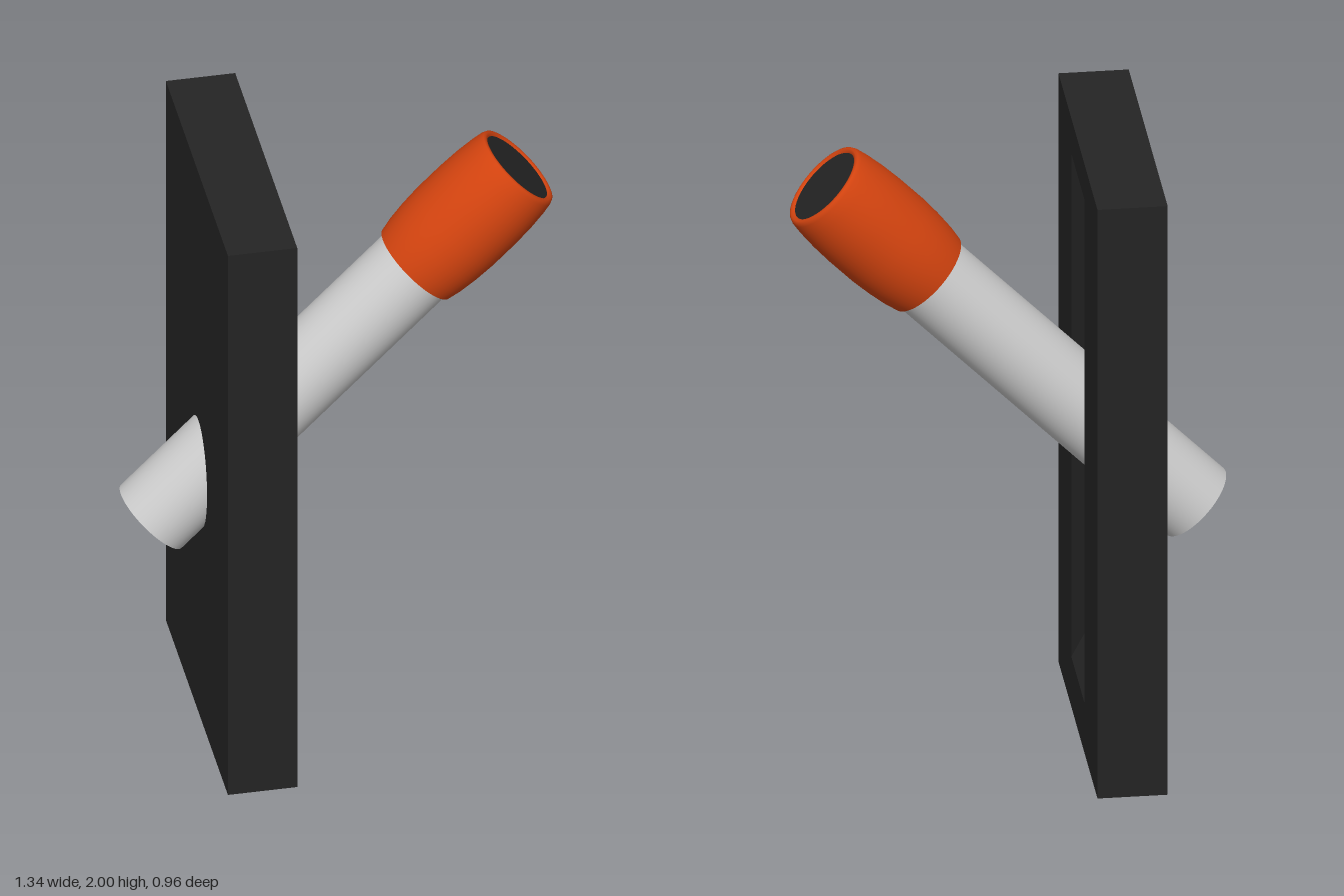
import * as THREE from 'three';

const DARK = new THREE.MeshStandardMaterial({ color: 0x242424 });
const ORANGE = new THREE.MeshStandardMaterial({ color: 0xd2430f });
const GREY = new THREE.MeshStandardMaterial({ color: 0xcccccc });

function addMesh(parent, name, geometry, material) {
  const mesh = new THREE.Mesh(geometry, material);
  mesh.name = name;
  parent.add(mesh);
  return mesh;
}

function trace(path, z0, z1, y0, y1) {
  // shape x runs along -z of the model
  return path.moveTo(-z1, y0).lineTo(-z0, y0).lineTo(-z0, y1).lineTo(-z1, y1).closePath();
}

// One slab of the plate between two x positions, with a rectangular opening
// whose inner end is shifted by (dz, dy) to give slanted walls.
function plateLayer(x0, x1, [z0, z1, y0, y1], dz = 0, dy = 0) {
  const shape = trace(new THREE.Shape(), -0.48, 0.48, 0, 2);
  shape.holes.push(trace(new THREE.Path(), z0, z1, y0, y1));
  const geo = new THREE.ExtrudeGeometry(shape, { depth: x1 - x0, bevelEnabled: false });
  const p = geo.attributes.position;
  for (let i = 0; i < p.count; i++) {
    if (Math.abs(p.getX(i)) < 0.4 && p.getZ(i) < 1e-4) {
      p.setXY(i, p.getX(i) - dz, p.getY(i) + dy);
    }
  }
  geo.computeVertexNormals();
  geo.rotateY(Math.PI / 2);
  geo.translate(x0, 0, 0);
  return geo;
}

export function createModel() {
  const model = new THREE.Group();
  model.name = 'leverSwitch';

  // Upright plate: slanted slot, deeper pocket around the lever, solid back
  const plate = new THREE.Group();
  plate.name = 'plate';
  model.add(plate);
  addMesh(plate, 'slotLayer', plateLayer(-0.277, -0.217, [-0.16, 0.165, 0.17, 1.88], 0.05, 0.078), DARK);
  addMesh(plate, 'pocketLayer', plateLayer(-0.315, -0.277, [-0.11, 0.215, 0.81, 1.39]), DARK);
  addMesh(plate, 'backLayer', new THREE.BoxGeometry(0.118, 2, 0.96), DARK).position.set(-0.374, 1, 0);

  // Lever, built along its own y axis and leaned over to the side
  const lever = new THREE.Group();
  lever.name = 'lever';
  lever.position.set(-0.58, 0.745, 0.023);
  lever.rotation.z = -Math.PI / 4;
  model.add(lever);

  const rod = new THREE.CylinderGeometry(0.134, 0.134, 1.2, 48, 1, true);
  addMesh(lever, 'rod', rod, GREY).position.y = 0.6;

  const tail = new THREE.CircleGeometry(0.134, 48);
  addMesh(lever, 'tailCap', tail, ORANGE).rotation.x = Math.PI / 2;

  // Barrel-shaped grip: flat shoulder, swelling side, rounded lip
  const shoulder = new THREE.RingGeometry(0.125, 0.146, 48);
  const shoulderMesh = addMesh(lever, 'gripShoulder', shoulder, ORANGE);
  shoulderMesh.rotation.x = Math.PI / 2;
  shoulderMesh.position.y = 1.166;

  const profile = [
    [0.146, 1.166], [0.155, 1.21], [0.162, 1.27], [0.166, 1.34], [0.166, 1.44],
    [0.163, 1.51], [0.157, 1.57], [0.151, 1.605], [0.146, 1.616], [0.139, 1.619],
    [0.131, 1.617], [0.126, 1.61],
  ].map(([r, t]) => new THREE.Vector2(r, t));
  addMesh(lever, 'grip', new THREE.LatheGeometry(profile, 48), ORANGE);

  const end = new THREE.CircleGeometry(0.127, 48);
  const endMesh = addMesh(lever, 'gripEnd', end, DARK);
  endMesh.rotation.x = -Math.PI / 2;
  endMesh.position.y = 1.612;

  return model;
}
